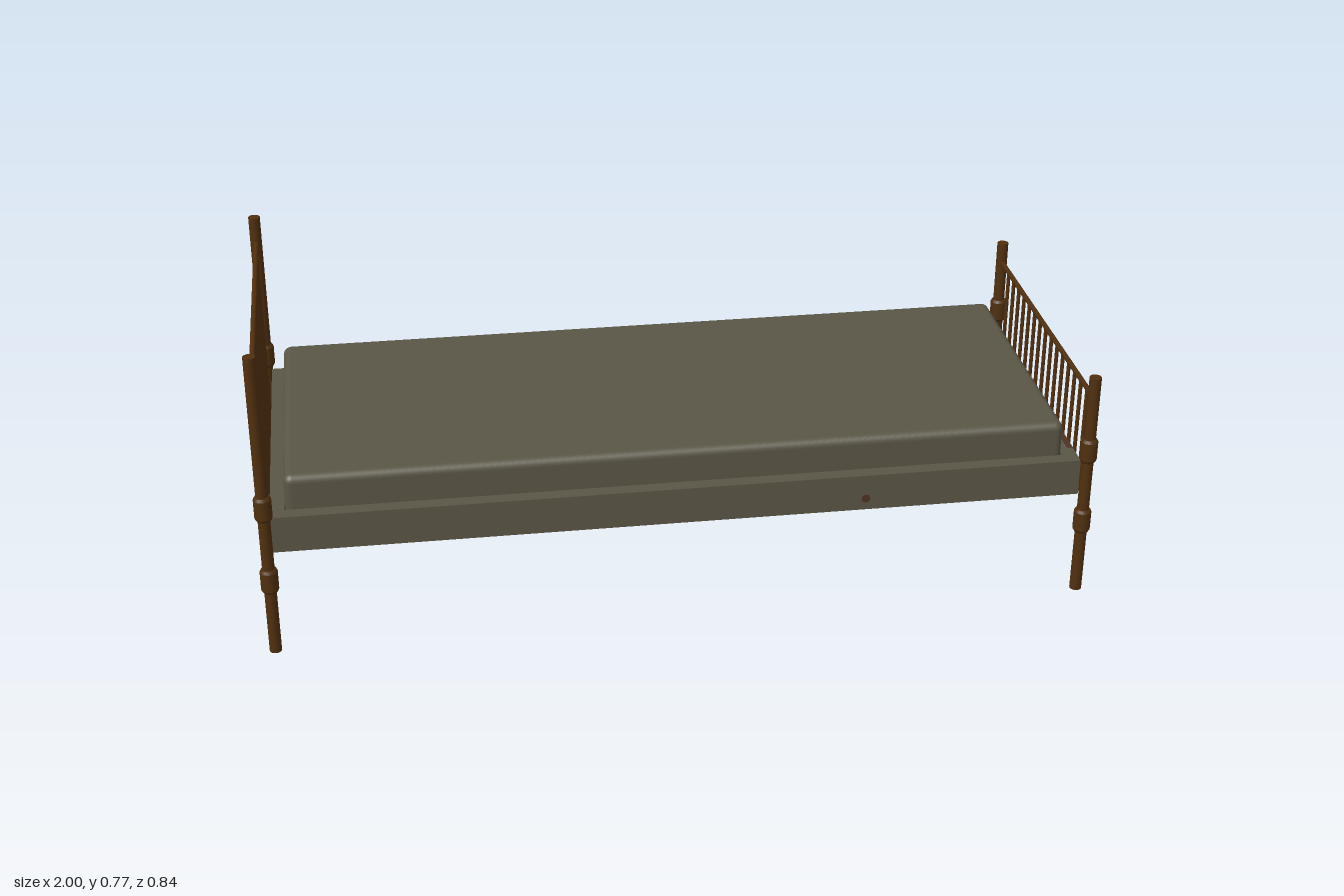
import * as THREE from 'three';
import { RoundedBoxGeometry } from 'three/addons/geometries/RoundedBoxGeometry.js';

const material = (name, color) => {
  const m = new THREE.MeshStandardMaterial({ color });
  m.name = name;
  return m;
};

export function createModel() {
  const bed = new THREE.Group();
  bed.name = 'bed';
  const fabric = material('drab fabric', 0x5a5646);
  const iron = material('rusty brown iron', 0x50300f);
  const rust = material('rust stain', 0x4e3323);

  const add = (parent, name, geometry, mat, x = 0, y = 0, z = 0) => {
    const mesh = new THREE.Mesh(geometry, mat);
    mesh.name = name;
    mesh.position.set(x, y, z);
    parent.add(mesh);
    return mesh;
  };
  const cylinder = (top, bottom, height, sides = 16) =>
    new THREE.CylinderGeometry(top, bottom, height, sides);

  // Mattress with softened edges
  add(bed, 'mattress', new RoundedBoxGeometry(1.862, 0.175, 0.704, 5, 0.02), fabric, 0, 0.3495, 0);

  // Rectangular frame around the mattress
  const rectangle = (Type, w, d) => new Type([
    new THREE.Vector2(-w, -d), new THREE.Vector2(w, -d),
    new THREE.Vector2(w, d), new THREE.Vector2(-w, d),
  ]);
  const outline = rectangle(THREE.Shape, 0.967, 0.387);
  outline.holes.push(rectangle(THREE.Path, 0.932, 0.353));
  const frameGeometry = new THREE.ExtrudeGeometry(outline, { depth: 0.092, bevelEnabled: false });
  frameGeometry.rotateX(-Math.PI / 2);
  add(bed, 'frame', frameGeometry, fabric, 0, 0.26, 0);

  // Collar with chamfered ends
  const addCollar = (parent, y, z) => {
    add(parent, 'collar', cylinder(0.021, 0.021, 0.048), iron, 0, y, z);
    add(parent, 'collarTop', cylinder(0.017, 0.021, 0.007), iron, 0, y + 0.0275, z);
    add(parent, 'collarBottom', cylinder(0.021, 0.017, 0.007), iron, 0, y - 0.0275, z);
  };

  // Head and foot ends: posts, rails and spindles
  const addEnd = (name, x, postHeight, railY) => {
    const end = new THREE.Group();
    end.name = name;
    end.position.x = x;
    bed.add(end);
    for (const z of [-0.4, 0.4]) {
      add(end, 'post', cylinder(0.0145, 0.0145, postHeight), iron, 0, postHeight / 2, z);
      addCollar(end, 0.195, z);
      addCollar(end, 0.388, z);
    }
    const lowY = 0.262;
    for (const y of [lowY, railY]) {
      add(end, 'rail', cylinder(0.0065, 0.0065, 0.79, 10), iron, 0, y, 0).rotation.x = Math.PI / 2;
    }
    for (let i = 0; i < 15; i++) {
      add(end, 'spindle', cylinder(0.005, 0.005, railY - lowY, 8), iron,
        0, (railY + lowY) / 2, 0.35 - i * 0.0484);
    }
  };
  addEnd('headboard', -0.979, 0.775, 0.706);
  addEnd('footboard', 0.979, 0.583, 0.528);

  // Worn rust patches on the frame
  add(bed, 'endStain', new THREE.BoxGeometry(0.002, 0.09, 0.30), rust, 0.9675, 0.306, 0.055);
  add(bed, 'endStainEdge', new THREE.BoxGeometry(0.002, 0.035, 0.035), rust, 0.9675, 0.282, 0.222);
  add(bed, 'topStain', new THREE.BoxGeometry(0.034, 0.002, 0.22), rust, 0.95, 0.3525, 0.11);
  add(bed, 'topStainEdge', new THREE.BoxGeometry(0.014, 0.002, 0.1), rust, 0.96, 0.3525, 0.27);
  add(bed, 'frontSpot', cylinder(0.011, 0.011, 0.002, 8), rust, 0.44, 0.29, 0.3875).rotation.x = Math.PI / 2;

  return bed;
}
